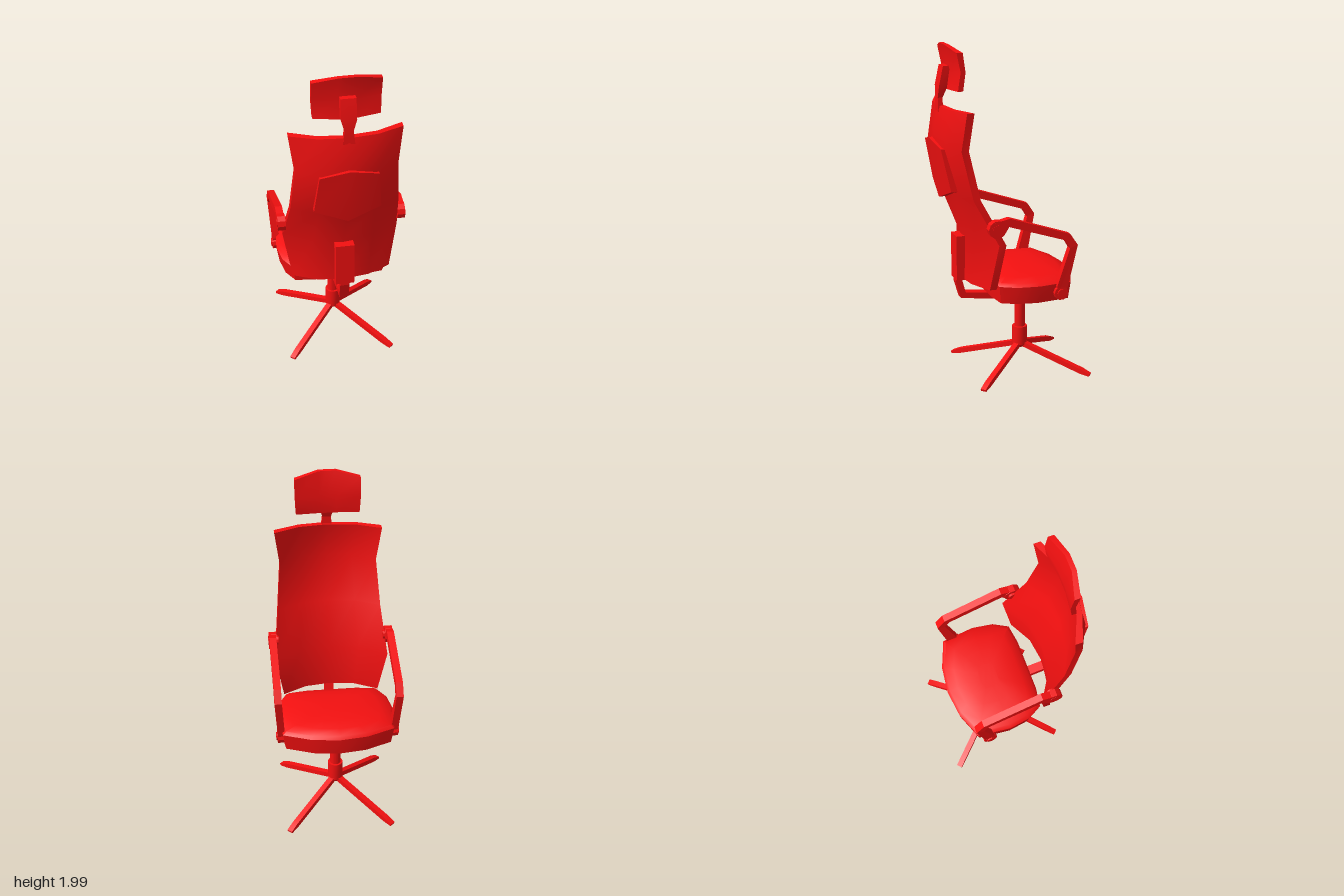
import * as THREE from 'three';
import { toCreasedNormals } from 'three/addons/utils/BufferGeometryUtils.js';

const material = new THREE.MeshStandardMaterial({ color: 0xf41010 });
const COLUMN_Z = -0.105;

function add(parent, name, geometry) {
  const mesh = new THREE.Mesh(geometry, material);
  mesh.name = name;
  parent.add(mesh);
  return mesh;
}

// Skin stacked loops (counter-clockwise from above, lowest first) and close both ends.
function loft(loops, crease = 0.7) {
  const n = loops[0].length, top = (loops.length - 1) * n, index = [];
  for (let r = 0; r < top; r += n) {
    for (let i = 0; i < n; i++) {
      const a = r + i, b = r + (i + 1) % n;
      index.push(a, b, b + n, a, b + n, a + n);
    }
  }
  for (let i = 0; i < n / 2 - 1; i++) {
    const [a, b, c, d] = [i, i + 1, n - 2 - i, n - 1 - i];
    index.push(a, c, b, a, d, c);
    index.push(top + a, top + b, top + c, top + a, top + c, top + d);
  }
  const g = new THREE.BufferGeometry();
  g.setAttribute('position', new THREE.Float32BufferAttribute(loops.flat(2), 3));
  g.setIndex(index);
  return toCreasedNormals(g, crease);
}

// Mirrored curved panel: each row lists [x, y, zFront, zBack] from centre to edge.
function panel(rows, crease) {
  return loft(rows.map((row) => {
    const across = [...row.slice(1).reverse(), ...row.map(([x, ...rest]) => [-x, ...rest])];
    return [
      ...across.map(([x, y, zf]) => [x, y, zf]),
      ...across.reverse().map(([x, y, , zb]) => [x, y, zb]),
    ];
  }), crease);
}

// Extrude a [z, y] side outline across x.
function sideExtrude(points, width, x = 0) {
  const shape = new THREE.Shape(points.map(([z, y]) => new THREE.Vector2(z, y)));
  return new THREE.ExtrudeGeometry(shape, { depth: width, bevelEnabled: false })
    .rotateY(-Math.PI / 2).translate(x + width / 2, 0, 0);
}

function cylinder(rTop, rBottom, y0, y1, sides = 20) {
  return toCreasedNormals(new THREE.CylinderGeometry(rTop, rBottom, y1 - y0, sides)
    .translate(0, (y0 + y1) / 2, COLUMN_Z), 0.6);
}

function createSeat() {
  const half = [[0, -0.385], [0.163, -0.365], [0.328, -0.3], [0.35, -0.1],
    [0.33, 0.03], [0.28, 0.12], [0.16, 0.137], [0, 0.137]];
  const outline = [...half.map(([x, z]) => [-x, z]), ...half.slice(1, -1).reverse()];
  const levels = [[0.95, 0.525], [1, 0.63], [0.94, 0.648], [0.75, 0.664], [0.5, 0.675], [0.22, 0.68]];
  return loft(levels.map(([s, y]) => outline.map(([x, z]) => [x * s, y, -0.12 + (z + 0.12) * s])));
}

function createBackrest() {
  // [y, centre z, forward sweep of the edge, half width]
  const levels = [[0.62, 0.235, 0.095, 0.29], [0.895, 0.23, 0.13, 0.34], [1.16, 0.33, 0.09, 0.31],
    [1.44, 0.4, 0.1, 0.287], [1.655, 0.36, 0.085, 0.315]];
  return panel(levels.map(([y, z, sweep, w]) => [
    [0, y, z, z + 0.033],
    [w * 0.52, y, z - sweep * 0.22, z - sweep * 0.22 + 0.035],
    [w, y, z - sweep, z - sweep + 0.042],
  ]));
}

function createArmrest(side) {
  const arm = new THREE.Group();
  arm.name = side > 0 ? 'leftArmrest' : 'rightArmrest';
  const outline = [[0.2, 1.0], [0.185, 1.04], [0.09, 1.06], [-0.275, 0.935], [-0.322, 0.865], [-0.262, 0.57],
    [-0.21, 0.57], [-0.205, 0.62], [-0.275, 0.85], [-0.245, 0.9], [0.095, 1.012], [0.125, 0.965], [0.17, 0.955]];
  const bar = sideExtrude(outline, 0.042, side * 0.352);
  // The front strut leans in toward the seat.
  const p = bar.attributes.position;
  for (let i = 0; i < p.count; i++) {
    const lean = Math.max(0, 0.85 - p.getY(i)) / 0.28;
    p.setX(i, p.getX(i) - side * 0.018 * lean);
  }
  bar.computeVertexNormals();
  add(arm, 'armBar', bar);

  const pivot = (name, x, y, z, r, length) => {
    const g = new THREE.CylinderGeometry(r, r, length, 10).rotateZ(Math.PI / 2).translate(side * x, y, z);
    add(arm, name, toCreasedNormals(g, 0.4));
  };
  pivot('rearPivot', 0.35, 1.0, 0.162, 0.052, 0.045);
  pivot('rearBolt', 0.345, 1.0, 0.162, 0.028, 0.06);
  pivot('frontPivot', 0.33, 0.577, -0.232, 0.042, 0.055);
  pivot('frontBolt', 0.335, 0.577, -0.232, 0.025, 0.06);
  return arm;
}

function createBase() {
  const base = new THREE.Group();
  base.name = 'base';
  add(base, 'seatPlate', cylinder(0.13, 0.13, 0.515, 0.53));
  add(base, 'columnCollar', cylinder(0.045, 0.045, 0.42, 0.522));
  add(base, 'gasColumn', cylinder(0.032, 0.032, 0.25, 0.43));
  add(base, 'hub', cylinder(0.045, 0.045, 0.15, 0.265));
  add(base, 'hubUnderside', cylinder(0.045, 0.03, 0.132, 0.15));

  // Four splayed legs with tapered tips
  for (const sx of [-1, 1]) {
    for (const sz of [-1, 1]) {
      const start = new THREE.Vector3(0, 0.158, COLUMN_Z);
      const end = new THREE.Vector3(sx * 0.312, 0.016, COLUMN_Z + sz * 0.337);
      const length = start.distanceTo(end);
      const g = new THREE.BoxGeometry(0.034, 0.03, length, 1, 1, 8);
      const p = g.attributes.position;
      for (let i = 0; i < p.count; i++) {
        if (p.getZ(i) > length / 2 - 0.001) p.setY(i, p.getY(i) * 0.45);
      }
      g.computeVertexNormals();
      const leg = add(base, 'leg', g);
      leg.position.lerpVectors(start, end, 0.5);
      leg.lookAt(end);
    }
  }
  return base;
}

export function createModel() {
  const chair = new THREE.Group();
  chair.name = 'officeChair';

  add(chair, 'seat', createSeat());
  add(chair, 'backrest', createBackrest());

  // Lumbar pad on the rear of the backrest
  add(chair, 'lumbarPad', panel([
    [[0, 1.12, 0.355, 0.393], [0.19, 1.19, 0.335, 0.375]],
    [[0, 1.475, 0.41, 0.449], [0.165, 1.435, 0.385, 0.425]],
  ], 0.5));

  // Headrest cushion and its bracket
  add(chair, 'headrest', panel([
    [[0, 1.75, 0.316, 0.35], [0.05, 1.75, 0.316, 0.35], [0.185, 1.755, 0.298, 0.328]],
    [[0, 1.86, 0.303, 0.333], [0.05, 1.86, 0.303, 0.333], [0.19, 1.86, 0.285, 0.313]],
    [[0, 2.0, 0.338, 0.365], [0.05, 2.0, 0.338, 0.365], [0.19, 1.968, 0.3, 0.335]],
  ]));
  add(chair, 'headrestBracket', panel([
    [[0, 1.62, 0.37, 0.398], [0.034, 1.62, 0.37, 0.398]],
    [[0, 1.7, 0.37, 0.398], [0.025, 1.7, 0.37, 0.398]],
    [[0, 1.765, 0.345, 0.395], [0.043, 1.765, 0.345, 0.395]],
    [[0, 1.88, 0.325, 0.37], [0.043, 1.88, 0.325, 0.37]],
  ], 0.3));

  // Rear spine and the bent link running under the seat
  add(chair, 'backSpine', new THREE.BoxGeometry(0.11, 0.27, 0.055).translate(0, 0.75, 0.28));
  add(chair, 'underseatLink', sideExtrude([[0.305, 0.63], [0.305, 0.6], [0.275, 0.495], [0, 0.455],
    [-0.06, 0.425], [-0.1, 0.425], [-0.1, 0.515], [-0.05, 0.515], [-0.03, 0.495], [0.245, 0.525],
    [0.265, 0.6], [0.265, 0.63]], 0.056));

  for (const side of [-1, 1]) chair.add(createArmrest(side));
  chair.add(createBase());
  return chair;
}
